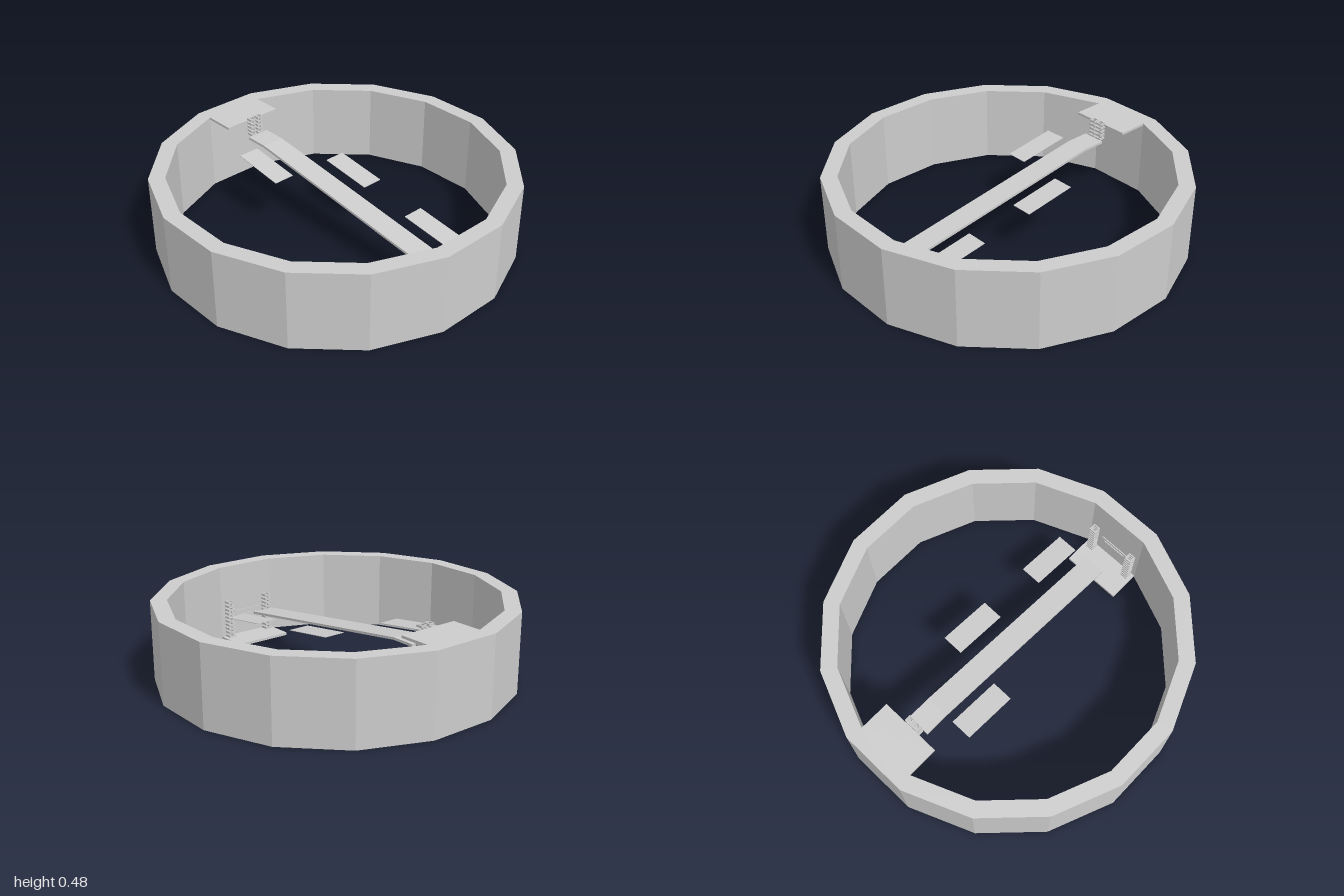
import * as THREE from 'three';

export function createModel() {
  const model = new THREE.Group();
  const stone = new THREE.MeshStandardMaterial({ color: 0xcccccc });
  stone.name = 'light grey';

  const add = (name, geometry, x = 0, y = 0, z = 0) => {
    const mesh = new THREE.Mesh(geometry, stone);
    mesh.name = name;
    mesh.position.set(x, y, z);
    model.add(mesh);
    return mesh;
  };

  // Corners of a regular polygon whose flat sides face the axes
  const polygon = (sides, apothem) => Array.from({ length: sides }, (_, i) => {
    const a = ((i + 0.5) / sides) * Math.PI * 2;
    const r = apothem / Math.cos(Math.PI / sides);
    return new THREE.Vector2(Math.cos(a) * r, Math.sin(a) * r);
  });

  // Upright hollow prism standing on y = 0
  const hollowPrism = (sides, outer, inner, height) => {
    const shape = new THREE.Shape(polygon(sides, outer));
    shape.holes.push(new THREE.Path(polygon(sides, inner)));
    return new THREE.ExtrudeGeometry(shape, { depth: height, bevelEnabled: false }).rotateX(-Math.PI / 2);
  };

  // Sixteen-sided wall
  add('ringWall', hollowPrism(16, 1, 0.91, 0.46));

  // Low landing at the front, high landing at the back
  add('frontLanding', new THREE.BoxGeometry(0.36, 0.016, 0.185), 0, 0.008, 0.8175);
  add('backLanding', new THREE.BoxGeometry(0.36, 0.014, 0.18), 0, 0.453, -0.82);

  // Sloping walkway with a level upper end, drawn as a side profile of z and y
  const slope = 0.136;
  const heightAt = (z) => 0.376 - slope * (z + 0.545);
  const thick = 0.014;
  const profile = [[-0.685, 0.376], [-0.545, 0.376], [0.725, heightAt(0.725)]];
  const under = profile.map(([z, y]) => [z, y - thick]).reverse();
  const side = new THREE.Shape([...profile, ...under].map(([z, y]) => new THREE.Vector2(z, y)));
  const walkway = new THREE.ExtrudeGeometry(side, { depth: 0.135, bevelEnabled: false });
  walkway.translate(0, 0, -0.0675).rotateY(-Math.PI / 2);
  add('walkway', walkway, -0.002);

  // Thin floating panels lying in the plane of the slope
  for (const [x, z] of [[-0.182, -0.388], [0.198, -0.072], [0.198, 0.558]]) {
    const panel = add('floatingPanel', new THREE.BoxGeometry(0.125, 0.003, 0.318), x, heightAt(z), z);
    panel.rotation.x = Math.atan(slope);
  }

  // Towers of stacked square frames
  const tower = (name, x, y, z, count, half) => {
    const group = new THREE.Group();
    group.name = name;
    group.position.set(x, y, z);
    const frame = hollowPrism(4, half, half * 0.68, 0.012);
    for (let i = 0; i < count; i++) {
      const mesh = new THREE.Mesh(frame, stone);
      mesh.name = 'towerFrame';
      mesh.position.y = i * 0.024;
      group.add(mesh);
    }
    model.add(group);
  };
  for (const s of [-1, 1]) {
    tower('frontTower', s * 0.137, 0.018, 0.881, 10, 0.022);
    tower('backTower', s * 0.025, 0.37, -0.708, 5, 0.019);
  }

  // Plain raised bars on the inner front wall
  for (const [y, width] of [[0.165, 0.19], [0.135, 0.15]]) {
    add('wallBar', new THREE.BoxGeometry(width, 0.01, 0.006), -0.004, y, 0.907);
  }

  return model;
}
